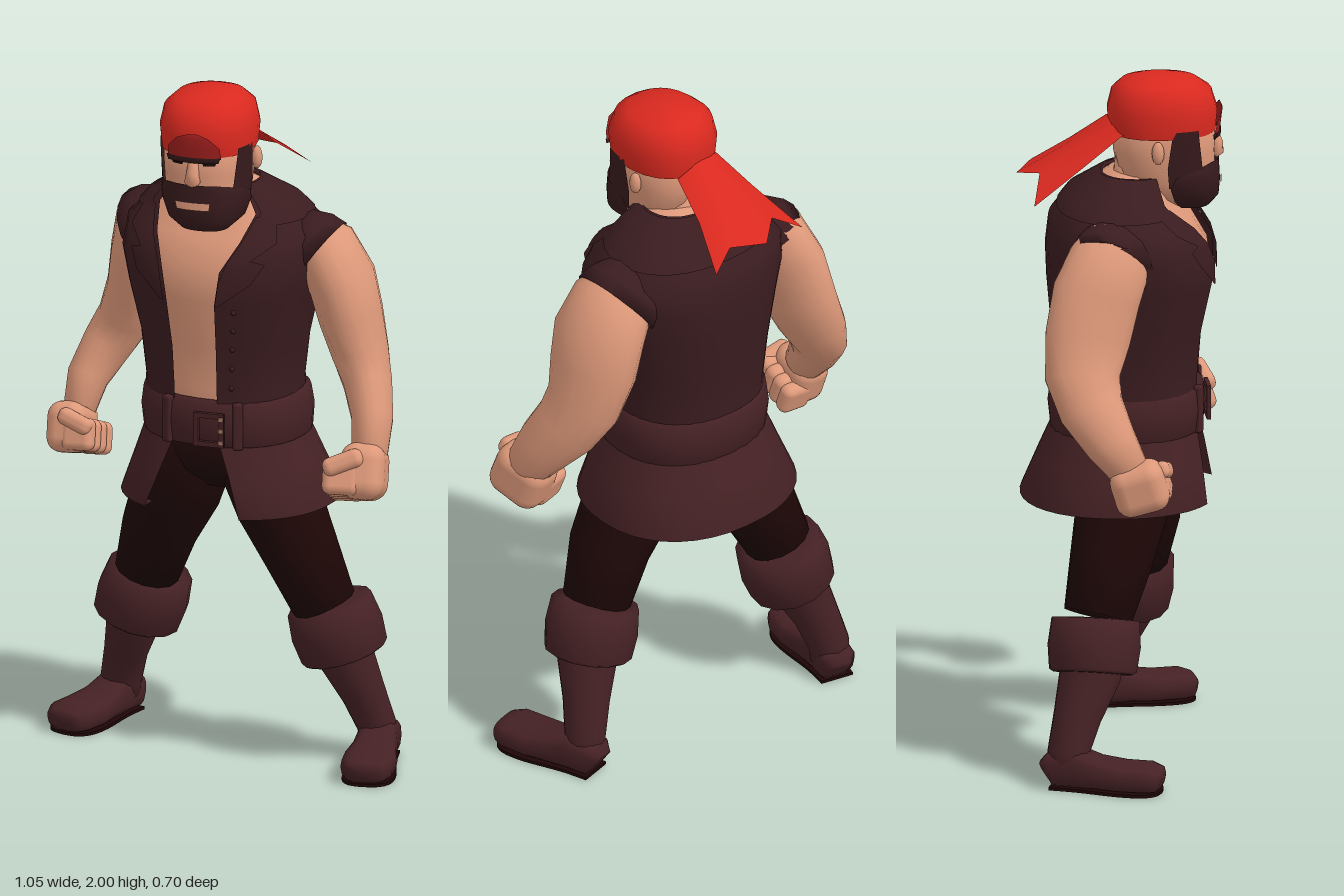
import * as THREE from 'three';
import { mergeVertices } from 'three/addons/utils/BufferGeometryUtils.js';
import { RoundedBoxGeometry } from 'three/addons/geometries/RoundedBoxGeometry.js';

const TAU = Math.PI * 2;
const V = (x, y, z) => new THREE.Vector3(x, y, z);
const mat = (name, color, double) => {
  const m = new THREE.MeshStandardMaterial({ color });
  m.name = name;
  if (double) m.side = THREE.DoubleSide;
  return m;
};
const soft = (v, p) => Math.sign(v) * Math.abs(v) ** p;

// Surface through rows of points; closed rows wrap because equal points are merged.
function grid(rows, capped) {
  const n = rows[0].length, pos = [], idx = [];
  rows.forEach(r => r.forEach(p => pos.push(p.x, p.y, p.z)));
  for (let j = 0; j < rows.length - 1; j++)
    for (let i = 0; i < n - 1; i++) {
      const a = j * n + i, b = a + n;
      idx.push(a, a + 1, b, a + 1, b + 1, b);
    }
  if (capped) [0, rows.length - 1].forEach((j, end) => {
    const c = V(0, 0, 0);
    rows[j].slice(1).forEach(p => c.add(p));
    c.divideScalar(n - 1);
    pos.push(c.x, c.y, c.z);
    const k = pos.length / 3 - 1;
    for (let i = 0; i < n - 1; i++) {
      const a = j * n + i;
      if (end) idx.push(a, a + 1, k); else idx.push(a + 1, a, k);
    }
  });
  let g = new THREE.BufferGeometry();
  g.setAttribute('position', new THREE.Float32BufferAttribute(pos, 3));
  g.setIndex(idx);
  g = mergeVertices(g, 1e-4);
  g.computeVertexNormals();
  return g;
}

// Limb along sections [x, y, z, width radius, depth radius].
function limb(secs, sides = 14, power = 1) {
  const c = secs.map(s => V(s[0], s[1], s[2]));
  return grid(secs.map((s, j) => {
    const d = c[Math.min(j + 1, c.length - 1)].clone().sub(c[Math.max(j - 1, 0)]).normalize();
    const w = V(1, 0, 0).cross(d).normalize(), u = d.clone().cross(w);
    return Array.from({ length: sides + 1 }, (_, i) => {
      const t = (i % sides) / sides * TAU;
      return c[j].clone().addScaledVector(u, soft(Math.sin(t), power) * s[3])
        .addScaledVector(w, soft(Math.cos(t), power) * s[4]);
    });
  }), true);
}

// Upright body from levels [y, cx, cz, rx, rz]; angle 0 is its front.
function body(levels, yaw, power = 0.9) {
  const cs = Math.cos(yaw), sn = Math.sin(yaw);
  return (t, y, off = 0) => {
    let k = 0;
    while (k < levels.length - 2 && y > levels[k + 1][0]) k++;
    const A = levels[k], B = levels[k + 1];
    const f = THREE.MathUtils.clamp((y - A[0]) / (B[0] - A[0]), 0, 1);
    const [, cx, cz, rx, rz] = A.map((v, i) => v + (B[i] - v) * f);
    const lx = soft(Math.sin(t), power) * Math.max(0, rx + off);
    const lz = soft(Math.cos(t), power) * Math.max(0, rz + off);
    return V(cx + lx * cs - lz * sn, y, cz + lx * sn + lz * cs);
  };
}
// Patch of a body; rows are [y, start angle, end angle, offset].
const patch = (fn, rows, n = 28, capped = false) => grid(rows.map(([y, a, b, off = 0]) =>
  Array.from({ length: n + 1 }, (_, i) => fn(a + (b - a) * i / n, y, off))), capped);
const around = (levels, off = 0) => levels.map(l => [l[0], 0, TAU, off]);
// The same patch on the left (s = 1) or right (s = -1) side.
const sided = (s, rows, off) => rows.map(([y, a, b]) => s > 0 ? [y, a, b, off] : [y, -b, -a, off]);

export function createModel() {
  const root = new THREE.Group();
  root.name = 'bandanaBrawler';
  const M = {
    skin: mat('skin', 0xde997a), vest: mat('vestLeather', 0x3a1c1f, true),
    boot: mat('bootLeather', 0x452124, true), trousers: mat('trouserCloth', 0x1e0606),
    red: mat('bandanaRed', 0xda291f, true), shade: mat('bandanaLining', 0xa01f1e, true),
    hair: mat('beardHair', 0x371a1c, true), dark: mat('eyeDark', 0x1c0c0d), metal: mat('buckleMetal', 0xa87868),
  };
  const add = (name, geo, m, parent = root) => {
    const o = new THREE.Mesh(geo, m);
    o.name = name;
    parent.add(o);
    return o;
  };
  const YAW = 0.28;

  // Torso
  const torsoLevels = [[0.98, 0, -0.01, 0.22, 0.198], [1.12, 0, -0.01, 0.213, 0.195], [1.25, 0, -0.01, 0.228, 0.205],
    [1.4, 0, 0, 0.262, 0.228], [1.5, 0, -0.002, 0.285, 0.23], [1.58, 0.005, -0.02, 0.28, 0.202],
    [1.645, 0, -0.025, 0.212, 0.148], [1.72, -0.015, 0.015, 0.105, 0.09]];
  const torso = body(torsoLevels, YAW);
  add('chest', patch(torso, around(torsoLevels, -0.008), 28, true), M.skin);
  const gaps = [0.26, 0.26, 0.25, 0.24, 0.27, 0.42, 0.7, 1.05];
  add('vest', patch(torso, torsoLevels.map((l, i) => [l[0], gaps[i], TAU - gaps[i], 0.012]), 32), M.vest);
  add('collar', patch(torso, [[1.62, 0.66, TAU - 0.66, 0.02], [1.655, 0.8, TAU - 0.8, 0.027],
    [1.72, 1.05, TAU - 1.05, 0.02], [1.71, 1.05, TAU - 1.05, -0.005]]), M.vest);
  for (const s of [1, -1]) {
    const lapel = [[1.4, 0.25, 0.28], [1.47, 0.27, 0.6], [1.525, 0.32, 0.72], [1.535, 0.34, 0.56],
      [1.58, 0.43, 0.82], [1.64, 0.68, 1.0]];
    add(s > 0 ? 'leftLapel' : 'rightLapel', patch(torso, sided(s, lapel, 0.023), 6), M.vest);
  }
  for (let i = 0; i < 5; i++)
    add('vestButton', new THREE.SphereGeometry(0.008, 8, 6), M.vest).position.copy(torso(0.45, 1.14 + i * 0.06, 0.012));

  // Belt, buckle and loops
  const belt = body([[0.94, 0.008, -0.01, 0.222, 0.2], [1.12, 0.004, -0.01, 0.215, 0.198]], YAW);
  add('belt', patch(belt, [[0.96, 0, TAU, 0], [0.965, 0, TAU, 0.018], [1.03, 0, TAU, 0.026], [1.085, 0, TAU, 0.02], [1.1, 0, TAU, 0]]), M.boot);
  const frame = new THREE.Shape([[-0.045, -0.05], [0.045, -0.05], [0.045, 0.05], [-0.045, 0.05]].map(p => new THREE.Vector2(...p)));
  frame.holes.push(new THREE.Path([[-0.03, -0.035], [-0.03, 0.035], [0.03, 0.035], [0.03, -0.035]].map(p => new THREE.Vector2(...p))));
  const buckle = add('buckle', new THREE.ExtrudeGeometry(frame, { depth: 0.012, bevelEnabled: false }), M.boot);
  buckle.position.copy(belt(0.16, 1.02, 0.026));
  buckle.rotation.y = -YAW + 0.14;
  for (const y of [-0.035, 0, 0.035])
    add('buckleStud', new THREE.BoxGeometry(0.014, 0.012, 0.012), M.metal, buckle).position.set(0.037, y, 0.01);
  for (const t of [-0.35, 0.5]) {
    const loop = add('beltLoop', new RoundedBoxGeometry(0.03, 0.14, 0.025, 2, 0.008), M.boot);
    loop.position.copy(belt(t, 1.03, 0.02));
    loop.rotation.y = t - YAW;
  }

  // Coat skirt, open at the front
  const skirt = body([[0.76, 0.015, -0.03, 0.318, 0.285], [0.88, 0.01, -0.02, 0.27, 0.245], [1.0, 0.005, -0.01, 0.225, 0.203]], YAW);
  add('coatSkirt', patch(skirt, [[0.775, 0.43, TAU - 0.47, -0.025], [0.765, 0.43, TAU - 0.47, 0], [0.88, 0.36, TAU - 0.38, 0], [1.0, 0.22, TAU - 0.25, 0]], 32), M.boot);

  // Trousers
  add('hips', patch(belt, [[0.8, 0, TAU, -0.12], [0.86, 0, TAU, -0.05], [0.99, 0, TAU, -0.005]], 20, true), M.trousers);
  add('leftTrouserLeg', limb([[0.09, 0.94, 0.03, 0.13, 0.15], [0.165, 0.76, 0.06, 0.125, 0.135],
    [0.235, 0.62, 0.085, 0.108, 0.12], [0.3, 0.47, 0.085, 0.092, 0.1]]), M.trousers);
  add('rightTrouserLeg', limb([[-0.08, 0.94, -0.03, 0.13, 0.15], [-0.145, 0.76, -0.06, 0.13, 0.135],
    [-0.205, 0.62, -0.11, 0.112, 0.12], [-0.25, 0.47, -0.16, 0.095, 0.1]]), M.trousers);

  // Boots: shaft, folded cuff, foot and dark sole
  const boot = (side, shaft, top, low, yaw) => {
    const g = new THREE.Group();
    g.name = side + 'Boot';
    root.add(g);
    add('bootShaft', limb(shaft), M.boot, g);
    const cuff = [[0, 0.08, 0.085], [0.02, 0.124, 0.128], [0.5, 0.134, 0.135], [0.95, 0.127, 0.127], [1, 0.114, 0.115], [1.01, 0.06, 0.07]];
    add('bootCuff', limb(cuff.map(([f, a, b]) => [...top.map((v, i) => v + (low[i] - v) * f), a, b])), M.boot, g);
    const a = shaft[shaft.length - 1];
    const foot = add('bootFoot', limb([[0, 0.045, -0.06, 0.035, 0.035], [0, 0.055, -0.045, 0.055, 0.05], [0, 0.062, 0.03, 0.058, 0.057],
      [0, 0.05, 0.09, 0.064, 0.045], [0, 0.044, 0.16, 0.077, 0.039], [0, 0.044, 0.235, 0.075, 0.039], [0, 0.039, 0.268, 0.06, 0.032], [0, 0.037, 0.278, 0.035, 0.02]], 16, 0.65), M.boot, g);
    const outline = new THREE.Shape();
    outline.setFromPoints(new THREE.SplineCurve([[0.05, -0.045], [0.055, 0.04], [0.074, 0.16], [0.07, 0.235], [0.035, 0.272],
      [-0.035, 0.272], [-0.07, 0.235], [-0.074, 0.16], [-0.055, 0.04], [-0.05, -0.045]].map(p => new THREE.Vector2(...p))).getPoints(36));
    const sole = add('bootSole', new THREE.ExtrudeGeometry(outline, { depth: 0.009, bevelEnabled: false }).rotateX(Math.PI / 2).translate(0, 0.009, 0), M.trousers, foot);
    sole.castShadow = false;
    foot.position.set(a[0], 0, a[2]);
    foot.rotation.y = yaw;
  };
  boot('left', [[0.31, 0.45, 0.085, 0.09, 0.1], [0.362, 0.31, 0.075, 0.08, 0.09], [0.405, 0.2, 0.047, 0.064, 0.07],
    [0.44, 0.1, 0.027, 0.056, 0.06], [0.45, 0.04, 0.027, 0.056, 0.056]], [0.312, 0.474, 0.08], [0.358, 0.322, 0.075], 0);
  boot('right', [[-0.255, 0.45, -0.165, 0.09, 0.1], [-0.295, 0.31, -0.195, 0.08, 0.09], [-0.325, 0.2, -0.24, 0.064, 0.07],
    [-0.345, 0.1, -0.272, 0.06, 0.06], [-0.347, 0.04, -0.274, 0.056, 0.056]], [-0.243, 0.462, -0.165], [-0.288, 0.313, -0.185], -0.48);

  // Arms, with the armhole edge of the vest at the shoulder
  add('leftArm', limb([[0.22, 1.56, 0.02, 0.07, 0.09], [0.295, 1.515, 0.032, 0.097, 0.125], [0.345, 1.43, 0.045, 0.097, 0.14],
    [0.37, 1.33, 0.047, 0.092, 0.135], [0.4, 1.22, 0.06, 0.082, 0.115], [0.428, 1.14, 0.1, 0.07, 0.1],
    [0.45, 1.06, 0.16, 0.06, 0.085], [0.452, 0.97, 0.22, 0.052, 0.066]], 16), M.skin);
  add('rightArm', limb([[-0.2, 1.56, -0.1, 0.07, 0.09], [-0.25, 1.52, -0.125, 0.09, 0.122], [-0.272, 1.43, -0.17, 0.085, 0.132],
    [-0.29, 1.31, -0.2, 0.083, 0.127], [-0.325, 1.2, -0.225, 0.08, 0.11], [-0.375, 1.12, -0.21, 0.073, 0.094],
    [-0.425, 1.03, -0.165, 0.06, 0.075], [-0.44, 0.95, -0.115, 0.047, 0.057]], 16), M.skin);
  add('leftArmhole', limb([[0.2, 1.57, 0.015, 0.07, 0.09], [0.25, 1.535, 0.022, 0.1, 0.125], [0.285, 1.51, 0.028, 0.105, 0.133], [0.28, 1.513, 0.028, 0.07, 0.09]], 16), M.vest);
  add('rightArmhole', limb([[-0.18, 1.57, -0.095, 0.07, 0.09], [-0.225, 1.535, -0.108, 0.097, 0.12], [-0.255, 1.51, -0.12, 0.1, 0.13], [-0.25, 1.513, -0.12, 0.07, 0.09]], 16), M.vest);

  // Fists with curled fingers pointing inwards
  const fist = (side, s, p, scale, tilt, yaw) => {
    const g = new THREE.Group();
    g.name = side + 'Fist';
    g.position.set(...p);
    g.rotation.set(tilt, yaw, 0);
    g.scale.setScalar(scale);
    root.add(g);
    add('palm', new RoundedBoxGeometry(0.13, 0.165, 0.175, 3, 0.05), M.skin, g).position.x = s * 0.02;
    for (let i = 0; i < 4; i++)
      add('finger', new RoundedBoxGeometry(0.11, 0.105, 0.056, 3, 0.025), M.skin, g).position.set(-s * 0.035, -0.032 + i * 0.004, -0.06 + i * 0.041);
    const thumb = add('thumb', new RoundedBoxGeometry(0.12, 0.055, 0.05, 3, 0.023), M.skin, g);
    thumb.position.set(-s * 0.03, 0.02, 0.083);
    thumb.rotation.z = s * 0.4;
  };
  fist('left', 1, [0.42, 0.925, 0.24], 1, -0.35, 0);
  fist('right', -1, [-0.44, 0.905, -0.085], 0.9, -0.3, -0.3);

  // Neck and head
  add('neck', limb([[-0.02, 1.8, 0.05, 0.09, 0.1], [-0.02, 1.7, 0.045, 0.092, 0.1], [-0.02, 1.6, 0.0, 0.13, 0.12]]), M.skin);
  const headLevels = [[1.62, -0.03, 0.16, 0.07, 0.062], [1.65, -0.03, 0.135, 0.1, 0.103], [1.7, -0.03, 0.1, 0.116, 0.137],
    [1.78, -0.03, 0.09, 0.123, 0.145], [1.9, -0.03, 0.09, 0.128, 0.148]];
  const head = body(headLevels, 0.17, 0.85);
  add('head', patch(head, around(headLevels), 24, true), M.skin);
  add('beard', patch(head, [[1.61, -1.9, 1.9, -0.05], [1.614, -1.9, 1.9, 0], [1.645, -1.75, 1.75, 0.012],
    [1.69, -1.6, 1.6, 0.013], [1.72, -1.5, 1.5, 0.012], [1.738, -1.15, 1.15, 0.011], [1.758, -0.4, 0.4, 0.012]], 26), M.hair);
  for (const s of [1, -1]) {
    add('sideburn', patch(head, sided(s, [[1.69, 0.8, 1.62], [1.75, 0.92, 1.58], [1.86, 1.02, 1.5]], 0.008), 6), M.hair);
    const ear = add('ear', new THREE.SphereGeometry(0.026, 10, 8), M.skin);
    ear.scale.set(0.6, 1.3, 0.7);
    ear.position.copy(head(s * 1.7, 1.8, 0.01));
    add('eye', patch(head, [[1.815, s * 0.32 - 0.13, s * 0.32 + 0.13, 0.005], [1.833, s * 0.32 - 0.17, s * 0.32 + 0.17, 0.005]], 4), M.dark);
  }
  add('mouth', patch(head, [[1.685, -0.32, 0.32, 0.018], [1.708, -0.34, 0.34, 0.018]], 6), M.skin);
  const nose = add('nose', limb([[0, 0.05, -0.01, 0.014, 0.014], [0, 0, 0.006, 0.018, 0.018], [0, -0.025, 0.008, 0.024, 0.018], [0, -0.036, 0, 0.014, 0.01]], 10), M.skin);
  nose.position.copy(head(0, 1.79, 0));
  nose.rotation.y = -0.17;
  add('brows', patch(head, [[1.832, -0.5, 0.5, 0.004], [1.826, -0.5, 0.5, 0.016], [1.842, -0.55, 0.55, 0.016]], 10), M.hair);

  // Bandana with its turned-up front and tails
  const capLevels = [[1.838, -0.03, 0.085, 0.134, 0.152], [1.9, -0.03, 0.085, 0.14, 0.158], [1.955, -0.03, 0.083, 0.128, 0.143],
    [1.982, -0.03, 0.078, 0.098, 0.11], [1.997, -0.03, 0.07, 0.05, 0.055], [2.0, -0.03, 0.07, 0, 0]];
  const cap = body(capLevels, 0.12, 0.9);
  add('bandana', patch(cap, around(capLevels), 24), M.red);
  add('bandanaFold', patch(cap, [[1.836, -0.58, 0.5, 0.012], [1.87, -0.52, 0.46, 0.013], [1.9, -0.3, 0.25, 0.014], [1.912, -0.08, 0.06, 0.012]], 8), M.shade);
  const tailRows = [
    [[0.075, 1.845, -0.04], [0.04, 1.87, -0.06], [-0.01, 1.88, -0.065], [-0.06, 1.87, -0.06], [-0.1, 1.85, -0.04]],
    [[0.125, 1.765, -0.15], [0.07, 1.8, -0.16], [0.01, 1.81, -0.165], [-0.05, 1.805, -0.165], [-0.118, 1.765, -0.165]],
    [[0.205, 1.675, -0.265], [0.13, 1.725, -0.26], [0.04, 1.715, -0.325], [-0.05, 1.735, -0.28], [-0.145, 1.665, -0.32]]];
  add('bandanaTails', grid(tailRows.map(r => r.map(p => V(...p)))), M.red);
  return root;
}
